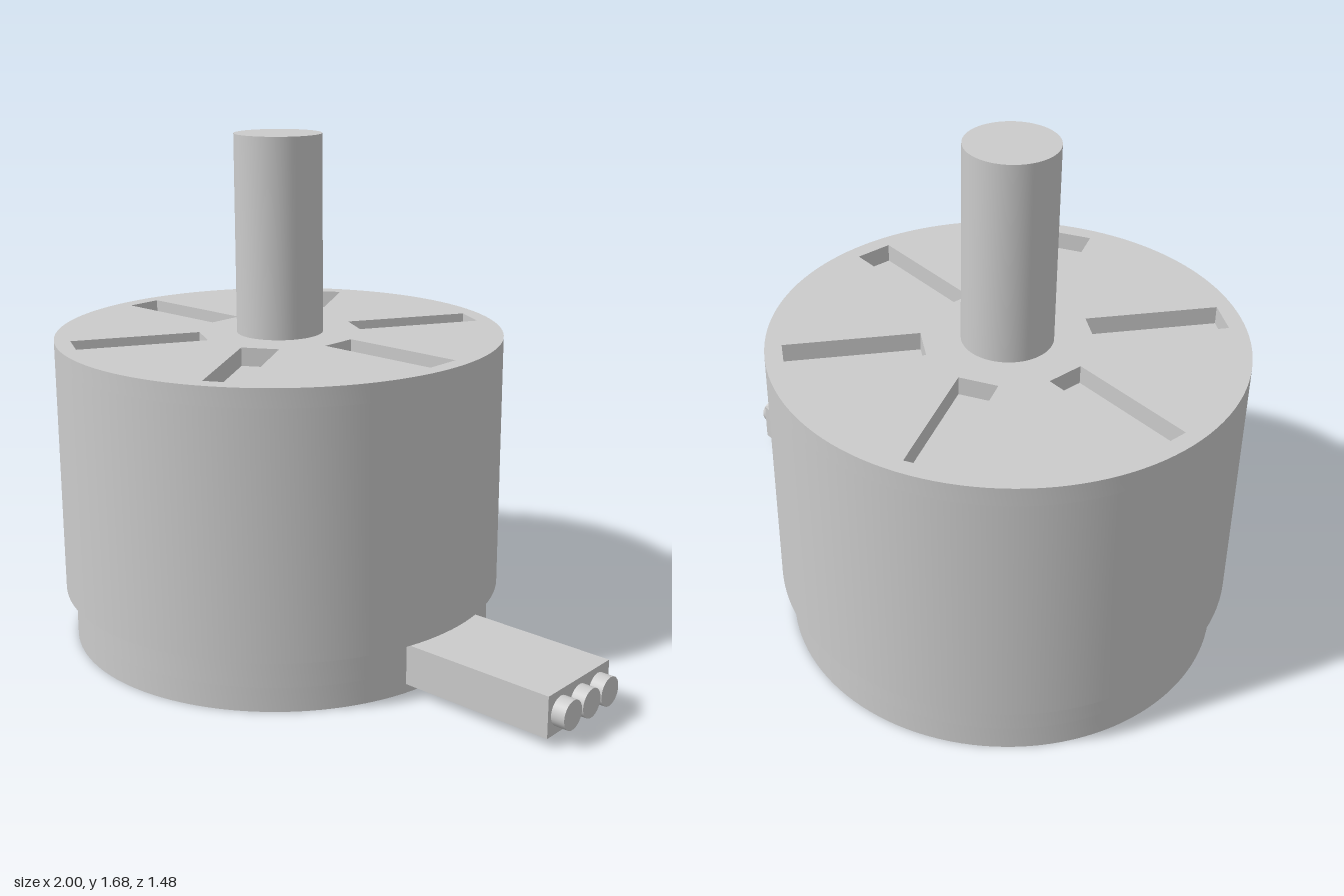
import * as THREE from 'three';
import { toCreasedNormals } from 'three/addons/utils/BufferGeometryUtils.js';

const material = new THREE.MeshStandardMaterial({ color: 0xcccccc });

function addMesh(parent, name, geometry) {
  const mesh = new THREE.Mesh(geometry, material);
  mesh.name = name;
  parent.add(mesh);
  return mesh;
}

function circle(Type, x, y, radius) {
  const path = new Type();
  path.absarc(x, y, radius, 0, Math.PI * 2, false);
  return path;
}

// Round plate from y0 to y1 with holes cut straight through it
function plate(radius, y0, y1, holes = []) {
  const shape = circle(THREE.Shape, 0, 0, radius);
  shape.holes.push(...holes);
  const geometry = new THREE.ExtrudeGeometry(shape, { depth: y1 - y0, bevelEnabled: false, curveSegments: 64 });
  geometry.rotateX(-Math.PI / 2).translate(0, y0, 0);
  return toCreasedNormals(geometry, Math.PI / 6);
}

// Radial rectangular slot
function slot(angle, inner, outer, halfWidth) {
  const corners = [[inner, -halfWidth], [outer, -halfWidth], [outer, halfWidth], [inner, halfWidth]];
  return new THREE.Path(corners.map(([x, y]) =>
    new THREE.Vector2(x, y).rotateAround(new THREE.Vector2(), angle))).closePath();
}

export function createModel() {
  const model = new THREE.Group();
  model.name = 'electricMotor';

  const motor = new THREE.Group();
  motor.name = 'motorBody';
  motor.position.x = -0.26;
  model.add(motor);

  // Base: drilled mounting plate under a solid ring
  const holes = [circle(THREE.Path, 0, 0, 0.156)];
  for (let i = 0; i < 4; i++) {
    const a = Math.PI / 4 + i * Math.PI / 2;
    holes.push(circle(THREE.Path, 0.42 * Math.cos(a), 0.42 * Math.sin(a), 0.065));
  }
  addMesh(motor, 'mountingPlate', plate(0.708, 0, 0.08, holes));
  addMesh(motor, 'base', plate(0.708, 0.08, 0.175));

  // Bell: solid drum with a slotted lid
  const slots = [];
  for (let i = 0; i < 6; i++) slots.push(slot(i * Math.PI / 3, 0.26, 0.685, 0.062));
  addMesh(motor, 'bell', plate(0.74, 0.175, 0.97));
  addMesh(motor, 'slottedLid', plate(0.74, 0.97, 1.03, slots));

  // Output shaft
  const shaft = addMesh(motor, 'shaft', new THREE.CylinderGeometry(0.143, 0.143, 0.66, 64));
  shaft.position.y = 1.35;

  // Cable connector with three wire ends
  const connector = addMesh(model, 'connector', new THREE.BoxGeometry(0.58, 0.135, 0.325));
  connector.position.set(0.665, 0.097, 0);
  for (const z of [-0.1, 0, 0.1]) {
    const wire = addMesh(model, 'wireEnd', new THREE.CylinderGeometry(0.047, 0.047, 0.06, 32));
    wire.rotation.z = -Math.PI / 2;
    wire.position.set(0.97, 0.097, z);
  }
  return model;
}
